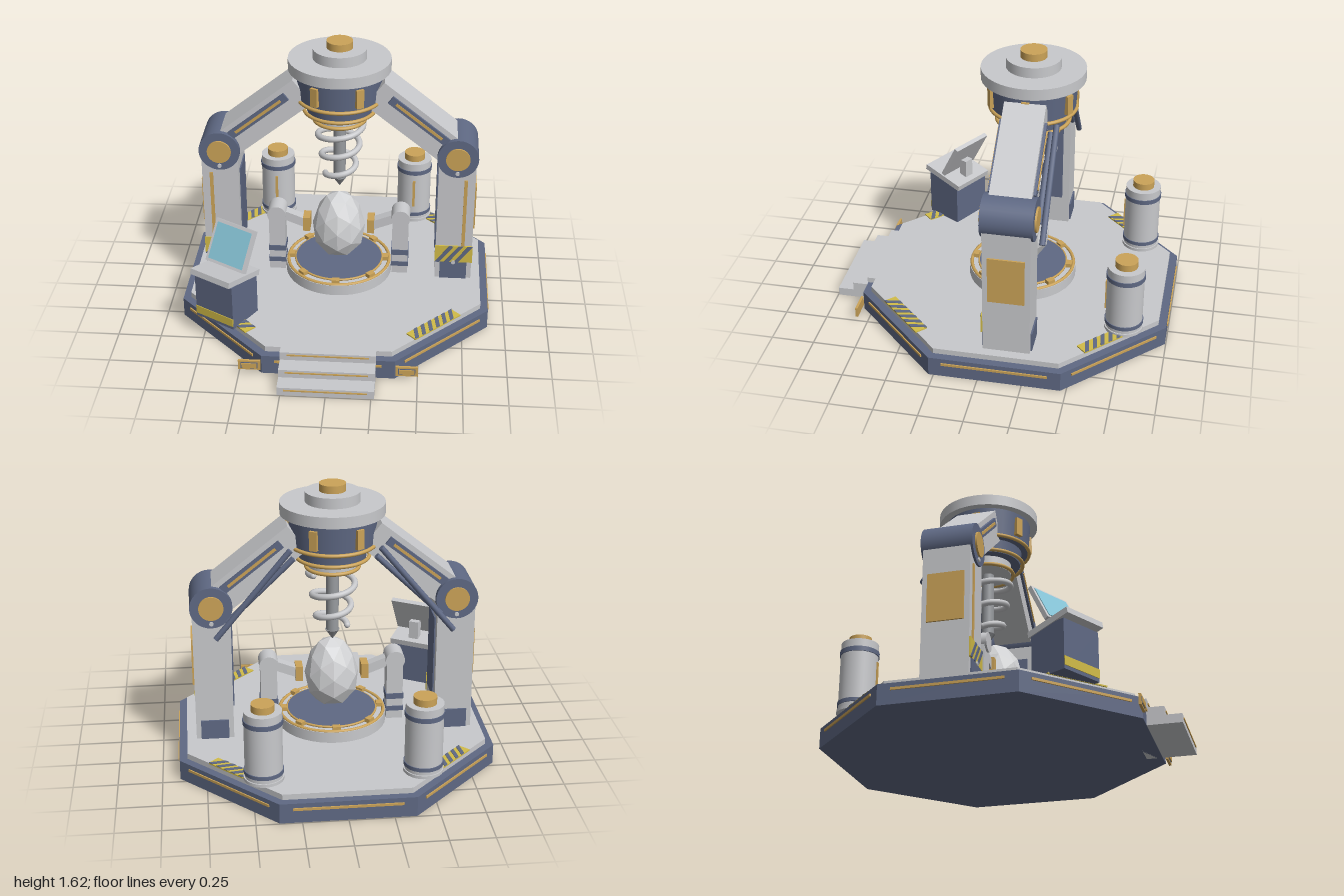
import * as THREE from 'three';
import { toCreasedNormals } from 'three/addons/utils/BufferGeometryUtils.js';

const paint = (name, color) => {
  const m = new THREE.MeshStandardMaterial({ color });
  m.name = name;
  return m;
};

export function createModel() {
  const light = paint('light panel', 0xc8c9cc);
  const dark = paint('slate blue', 0x5f6984);
  const gold = paint('gold trim', 0xcba358);
  const yellow = paint('hazard yellow', 0xd2bc48);
  const cyan = paint('screen cyan', 0x86c4d6);
  const steel = paint('drill steel', 0x989b9f);
  const eggWhite = paint('egg shell', 0xd2d3d5);

  const model = new THREE.Group();
  model.name = 'drillStation';
  const HEAD_Z = -0.145, PED_Z = -0.09, BASE_Z = -0.095;

  const add = (parent, name, geo, mat, x = 0, y = 0, z = 0) => {
    const m = new THREE.Mesh(geo, mat);
    m.name = name;
    m.position.set(x, y, z);
    parent.add(m);
    return m;
  };
  const group = (parent, name, x = 0, y = 0, z = 0) => {
    const g = new THREE.Group();
    g.name = name;
    g.position.set(x, y, z);
    parent.add(g);
    return g;
  };
  const box = (p, name, mat, w, h, d, x, y, z) => add(p, name, new THREE.BoxGeometry(w, h, d), mat, x, y, z);
  // upright cylinder given by its bottom and top heights
  const drum = (p, name, mat, rTop, rBottom, y0, y1, x = 0, z = 0) =>
    add(p, name, new THREE.CylinderGeometry(rTop, rBottom, y1 - y0, 40), mat, x, (y0 + y1) / 2, z);
  const hoop = (p, name, mat, r, tube, y, z) => {
    const m = add(p, name, new THREE.TorusGeometry(r, tube, 10, 48), mat, 0, y, z);
    m.rotation.x = Math.PI / 2;
    return m;
  };
  const axle = (p, name, mat, r, len, x, y, z) => {
    const m = add(p, name, new THREE.CylinderGeometry(r, r, len, 32), mat, x, y, z);
    m.rotation.x = Math.PI / 2;
    return m;
  };
  const rod = (p, name, mat, r, a, b) => {
    const A = new THREE.Vector3(...a), B = new THREE.Vector3(...b), d = B.clone().sub(A);
    const m = add(p, name, new THREE.CylinderGeometry(r, r, d.length(), 12), mat);
    m.position.copy(A).add(B).multiplyScalar(0.5);
    m.quaternion.setFromUnitVectors(new THREE.Vector3(0, 1, 0), d.normalize());
  };
  // striped warning plate lying in XY, facing +z
  const hazard = (p, w, h, count, x, y, z) => {
    const g = group(p, 'hazardPlate', x, y, z);
    box(g, 'hazardBase', yellow, w, h, 0.008, 0, 0, 0);
    const skew = h * 0.75, pitch = (w - skew) / (count - 0.5), s = pitch * 0.5;
    for (let i = 0; i < count; i++) {
      const x0 = -w / 2 + i * pitch;
      const shape = new THREE.Shape([[x0, -h / 2], [x0 + s, -h / 2], [x0 + s + skew, h / 2], [x0 + skew, h / 2]]
        .map(([a, b]) => new THREE.Vector2(a, b)));
      add(g, 'hazardStripe', new THREE.ExtrudeGeometry(shape, { depth: 0.003, bevelEnabled: false }), dark, 0, 0, 0.004);
    }
    return g;
  };

  // Octagonal base with trim strips
  const base = group(model, 'base', 0, 0, BASE_Z);
  const octagon = (name, mat, apothem, y0, y1) => {
    const r = apothem / Math.cos(Math.PI / 8);
    const geo = new THREE.CylinderGeometry(r, r, y1 - y0, 8).rotateY(Math.PI / 8);
    add(base, name, toCreasedNormals(geo, 0.3), mat, 0, (y0 + y1) / 2, 0);
  };
  octagon('plinth', dark, 0.9, 0, 0.117);
  octagon('deck', light, 0.855, 0.117, 0.15);
  for (let i = 0; i < 8; i++) {
    const side = group(base, 'baseSide');
    side.rotation.y = i * Math.PI / 4;
    box(side, 'trimStrip', gold, 0.6, 0.014, 0.01, 0, 0.083, 0.902);
    if (i % 2) hazard(side, 0.36, 0.075, 6, 0, 0.153, 0.825).rotation.x = -Math.PI / 2;
  }

  // Front steps and marker lamps
  const steps = group(model, 'steps');
  for (let i = 0; i < 3; i++) {
    const h = 0.05 * (i + 1), front = 0.995 - 0.093 * i;
    box(steps, 'step', light, 0.535, h, 0.095, 0, h / 2, front - 0.0475);
    box(steps, 'stepTrim', gold, 0.46, 0.008, 0.008, 0, h - 0.016, front + 0.001);
  }
  for (const s of [-1, 1]) {
    const lamp = group(model, 'markerLamp', s * 0.44, 0.06, 0.812);
    box(lamp, 'lampFrame', gold, 0.125, 0.06, 0.014, 0, 0, 0);
    box(lamp, 'lampInset', dark, 0.095, 0.04, 0.004, 0, 0, 0.007);
    box(lamp, 'lampLens', gold, 0.085, 0.03, 0.012, 0, 0, 0.008);
  }

  // Round pedestal and egg
  const pedestal = group(model, 'pedestal', 0, 0, PED_Z);
  drum(pedestal, 'pedestalBody', light, 0.32, 0.32, 0.15, 0.215);
  hoop(pedestal, 'pedestalRing', gold, 0.306, 0.01, 0.215, 0);
  drum(pedestal, 'pedestalPad', dark, 0.262, 0.262, 0.21, 0.228);
  hoop(pedestal, 'padRing', gold, 0.262, 0.007, 0.222, 0);
  for (let i = 0; i < 8; i++) {
    const a = i * Math.PI / 4;
    box(pedestal, 'pedestalStud', gold, 0.045, 0.026, 0.035, 0.283 * Math.sin(a), 0.227, 0.283 * Math.cos(a)).rotation.y = a;
  }
  const eggGeo = new THREE.IcosahedronGeometry(1, 1);
  const ep = eggGeo.attributes.position;
  for (let i = 0; i < ep.count; i++) {
    const y = ep.getY(i), w = 0.158 * (1 - 0.14 * y);
    ep.setXYZ(i, ep.getX(i) * w, y * 0.218, ep.getZ(i) * w);
  }
  eggGeo.computeVertexNormals();
  add(pedestal, 'egg', eggGeo, eggWhite, 0, 0.461, 0);

  // Drill head
  const head = group(model, 'drillHead', 0, 0, HEAD_Z);
  for (const [name, mat, rt, rb, y0, y1] of [
    ['topCap', gold, 0.075, 0.075, 1.58, 1.625], ['topDisc', light, 0.155, 0.155, 1.52, 1.582],
    ['mainDisc', light, 0.295, 0.295, 1.457, 1.522], ['motorDrum', dark, 0.252, 0.24, 1.28, 1.458],
    ['lowerDrum', dark, 0.2, 0.19, 1.2, 1.285], ['collar', light, 0.137, 0.137, 1.135, 1.205],
    ['drillShaft', steel, 0.036, 0.036, 0.75, 1.14], ['drillTip', steel, 0.042, 0.002, 0.69, 0.75],
  ]) drum(head, name, mat, rt, rb, y0, y1);
  for (const [r, y] of [[0.245, 1.284], [0.207, 1.205], [0.15, 1.14]]) hoop(head, 'headRing', gold, r, 0.011, y, 0);
  for (let i = 0; i < 6; i++) {
    const a = Math.PI / 6 + i * Math.PI / 3;
    box(head, 'headLug', gold, 0.045, 0.112, 0.03, 0.25 * Math.sin(a), 1.367, 0.25 * Math.cos(a)).rotation.y = a;
  }
  // Tapering spiral blade
  const coil = [];
  for (let i = 0; i <= 60; i++) {
    const t = i / 60, a = -0.6 + t * Math.PI * 2 * 2.6, r = 0.14 - 0.055 * t;
    coil.push(new THREE.Vector3(r * Math.cos(a), 1.11 - 0.34 * t, r * Math.sin(a)));
  }
  add(head, 'drillSpiral', new THREE.TubeGeometry(new THREE.CatmullRomCurve3(coil), 160, 0.018, 10), light);
  for (const p of [coil[0], coil[60]]) add(head, 'spiralEnd', new THREE.SphereGeometry(0.018, 12, 8), light, p.x, p.y, p.z);

  for (const s of [-1, 1]) {
    // Pillar with panels
    const pillar = group(model, 'pillar', s * 0.692, 0, HEAD_Z);
    box(pillar, 'pillarBody', light, 0.216, 0.77, 0.265, 0, 0.535, 0);
    box(pillar, 'outerPanel', gold, 0.012, 0.28, 0.205, s * 0.112, 0.62, 0);
    box(pillar, 'innerPanel', dark, 0.012, 0.5, 0.18, -s * 0.11, 0.58, 0);
    box(pillar, 'pillarStrip', gold, 0.02, 0.45, 0.012, s * 0.053, 0.597, 0.134);
    hazard(pillar, 0.224, 0.112, 3, 0, 0.32, 0.138);
    for (const f of [-1, 1]) box(pillar, 'footPlate', dark, 0.16, 0.115, 0.016, 0, 0.208, f * 0.134);
    axle(pillar, 'footBolt', light, 0.012, 0.02, 0, 0.265, 0.139);

    // Elbow joint
    axle(pillar, 'elbow', dark, 0.12, 0.29, 0, 0.965, 0);
    axle(pillar, 'elbowCap', gold, 0.07, 0.312, 0, 0.965, 0);
    axle(pillar, 'elbowBolt', light, 0.012, 0.306, 0, 0.873, 0);

    // Sloping upper arm
    const arm = group(model, 'upperArm', s * 0.69, 0.965, HEAD_Z);
    const slope = 0.672;
    arm.rotation.z = s > 0 ? Math.PI - slope : slope;
    box(arm, 'armBeam', light, 0.55, 0.18, 0.232, 0.345, 0, 0);
    for (const f of [-1, 1]) {
      box(arm, 'armPlate', dark, 0.42, 0.05, 0.018, 0.32, -s * 0.035, f * 0.122);
      box(arm, 'armStrip', gold, 0.34, 0.016, 0.01, 0.32, -s * 0.035, f * 0.131);
    }

    // Brace rods behind the arm
    rod(model, 'braceRod', dark, 0.017, [s * 0.67, 0.79, -0.318], [s * 0.25, 1.3, -0.318]);
    rod(model, 'braceRod', dark, 0.017, [s * 0.6, 0.88, -0.285], [s * 0.23, 1.24, -0.285]);

    // Small gripper arm
    const grip = group(model, 'gripper', s * 0.37, 0, PED_Z);
    box(grip, 'gripperPost', light, 0.096, 0.38, 0.096, 0, 0.34, 0);
    box(grip, 'gripperBand', dark, 0.104, 0.035, 0.104, 0, 0.295, 0);
    box(grip, 'gripperFoot', dark, 0.104, 0.03, 0.104, 0, 0.215, 0);
    axle(grip, 'gripperJoint', light, 0.056, 0.12, 0, 0.53, 0);
    box(grip, 'gripperForearm', light, 0.18, 0.055, 0.06, -s * 0.085, 0.498, 0).rotation.z = s * 0.38;
    box(grip, 'gripperPad', gold, 0.042, 0.09, 0.09, -s * 0.178, 0.465, 0);

    // Storage tank
    const tank = group(model, 'tank', s * 0.44, 0, -0.757);
    drum(tank, 'tankBody', light, 0.105, 0.105, 0.15, 0.562);
    drum(tank, 'tankFoot', light, 0.112, 0.112, 0.15, 0.168);
    drum(tank, 'tankBand', dark, 0.11, 0.11, 0.19, 0.212);
    drum(tank, 'tankBand', dark, 0.11, 0.11, 0.488, 0.515);
    drum(tank, 'tankCap', gold, 0.064, 0.064, 0.56, 0.603);
    box(tank, 'tankStrip', gold, 0.016, 0.185, 0.012, 0, 0.355, 0.106);
  }

  // Control console
  const desk = group(model, 'console', -0.61, 0, 0.45);
  desk.rotation.y = -Math.PI / 6;
  box(desk, 'consoleBody', dark, 0.265, 0.28, 0.23, 0, 0.29, 0);
  box(desk, 'consoleStrip', yellow, 0.265, 0.05, 0.008, 0, 0.195, 0.115);
  box(desk, 'consoleTop', light, 0.275, 0.035, 0.285, 0, 0.437, 0.005).rotation.x = -0.2;
  box(desk, 'screenPost', light, 0.06, 0.15, 0.05, 0, 0.47, -0.075);
  const screen = group(desk, 'screen', 0, 0.575, -0.062);
  screen.rotation.x = -0.5;
  box(screen, 'screenFrame', light, 0.275, 0.25, 0.026, 0, 0, 0);
  box(screen, 'screenGlass', cyan, 0.24, 0.215, 0.008, 0, 0, 0.013);

  return model;
}
